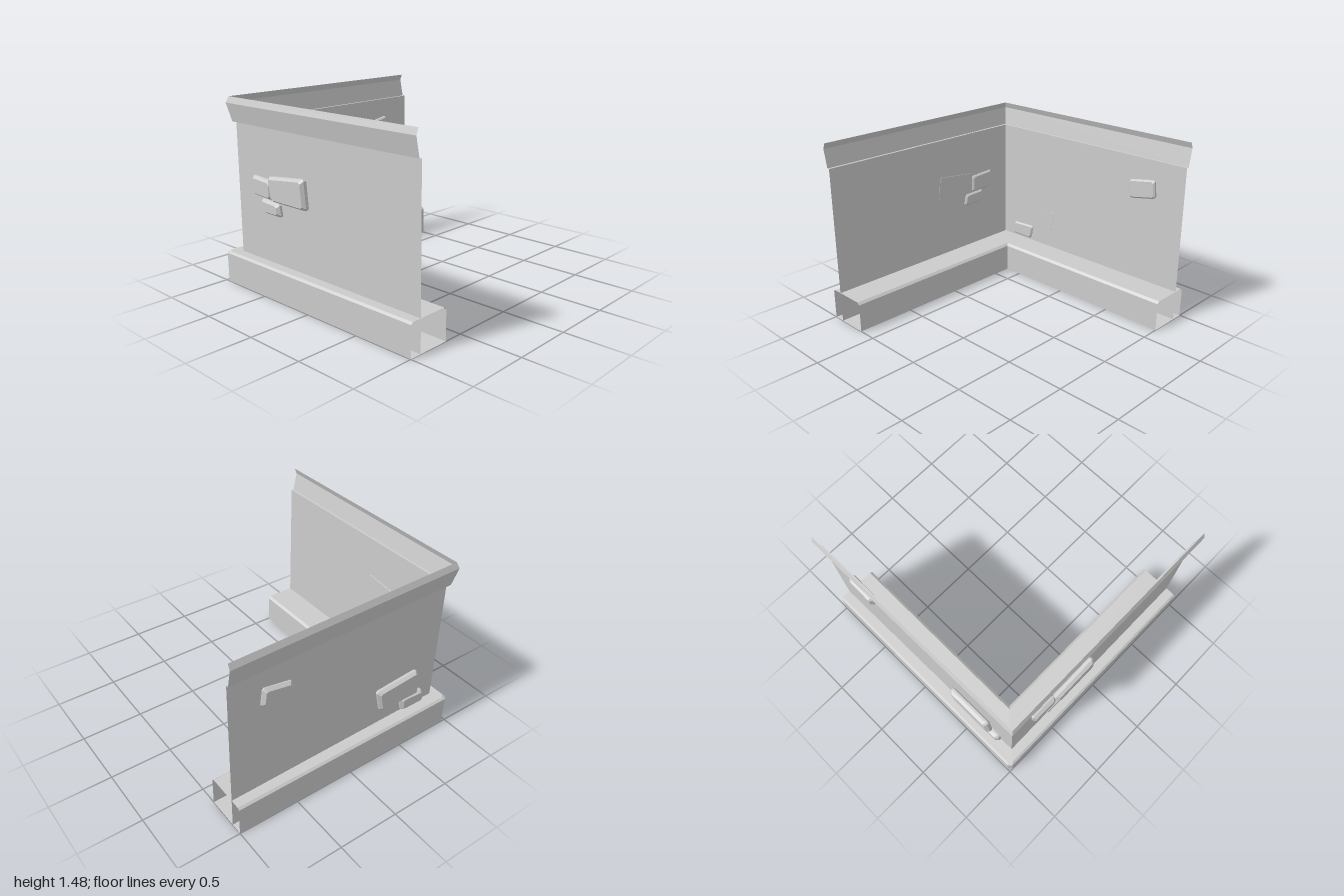
import * as THREE from 'three';

const material = new THREE.MeshStandardMaterial({ color: 0xcccccc, flatShading: true, side: THREE.DoubleSide });

// Skin between successive rings of points; optionally close each ring and cap the ends
function loft(name, rings, closed = false) {
  const pos = rings.flat(2), n = rings[0].length, index = [];
  for (let r = 0; r < rings.length - 1; r++) {
    for (let i = 0; i < (closed ? n : n - 1); i++) {
      const a = r * n + i, b = r * n + (i + 1) % n;
      index.push(a, b, b + n, a, b + n, a + n);
    }
  }
  if (closed) {
    const last = (rings.length - 1) * n;
    for (let i = 1; i < n - 1; i++) index.push(0, i + 1, i, last, last + i, last + i + 1);
  }
  const indexed = new THREE.BufferGeometry();
  indexed.setAttribute('position', new THREE.Float32BufferAttribute(pos, 3));
  indexed.setIndex(index);
  const geometry = indexed.toNonIndexed();
  geometry.computeVertexNormals();
  const mesh = new THREE.Mesh(geometry, material);
  mesh.name = name;
  return mesh;
}

// Sweep a profile of [offset, height] around the corner; each station turns an offset into [x, z]
function sweep(name, profile, stations) {
  return loft(name, stations.map(at => profile.map(([d, y]) => {
    const [x, z] = at(d);
    return [x, y, z];
  })));
}

// The side wall leans out by 0.02 towards its far end
const wallPath = [d => [-d, -1], d => [-d + 0.02, d], d => [1, d]];

// The plinth has a chamfered outer corner
const chamfer = d => (d > 0.9 ? 0.028 : 0);
const plinthPath = [
  d => [-d, -1],
  d => [-d, d - chamfer(d)],
  d => [-d + chamfer(d), d],
  d => [1, d],
];

// Inset a quad by s and cut its corners by c, giving an eight-sided outline
function outline(quad, s, c) {
  const p = quad.map(q => new THREE.Vector2(...q));
  const dir = (a, b) => b.clone().sub(a).normalize();
  return p.flatMap((q, i) => {
    const u = dir(q, p[(i + 3) % 4]), v = dir(q, p[(i + 1) % 4]);
    const inner = q.clone().addScaledVector(u, s).addScaledVector(v, s);
    return [inner.clone().addScaledVector(u, c), inner.clone().addScaledVector(v, c)];
  });
}

// Bevelled stone set in a wall, from depth d0 (inside) to d1 (outside)
function stone(name, quad, d0, d1, place) {
  const layers = [[d0, 0.012], [d0 + 0.012, 0], [d1 - 0.025, 0], [d1, 0.018]];
  return loft(name, layers.map(([d, s]) => outline(quad, s, 0.014).map(p => place(p.x, p.y, d))), true);
}

export function createModel() {
  const group = new THREE.Group();
  group.name = 'cornerWall';

  // Thin wall sheet, hollow plinth with open ends, and cornice strip
  group.add(sweep('wall', [[0.905, 0], [0.905, 1.29]], wallPath));
  group.add(sweep('plinth', [
    [0.997, 0], [0.997, 0.235], [0.98, 0.25], [0.672, 0.25], [0.652, 0.232], [0.652, 0], [0.997, 0],
  ], plinthPath));
  group.add(sweep('cornice', [[0.905, 1.29], [0.926, 1.29], [0.956, 1.435], [0.938, 1.483]], wallPath));

  // Exposed stones on the front wall (x, y corners)
  const onFront = (u, y, d) => [u, y, d];
  const front = [
    [[[-0.475, 0.932], [-0.075, 0.978], [-0.052, 0.75], [-0.435, 0.75]], 0.903, 0.963],
    [[[-0.685, 0.91], [-0.455, 0.896], [-0.455, 0.748], [-0.68, 0.763]], 0.885, 0.945],
    [[[-0.58, 0.748], [-0.375, 0.738], [-0.355, 0.638], [-0.55, 0.64]], 0.885, 0.95],
  ];
  front.forEach(([quad, d0, d1], i) => group.add(stone(`frontStone${i + 1}`, quad, d0, d1, onFront)));

  // Exposed stones on the side wall (z, y corners)
  const onSide = (u, y, d) => [-d, y, u];
  const side = [
    [[[0.68, 0.625], [0.28, 0.592], [0.325, 0.395], [0.708, 0.395]], 0.89, 0.945],
    [[[0.78, 0.38], [0.545, 0.392], [0.57, 0.265], [0.792, 0.265]], 0.872, 0.93],
    [[[-0.495, 1.092], [-0.735, 1.135], [-0.752, 0.985], [-0.51, 0.938]], 0.875, 0.935],
  ];
  side.forEach(([quad, d0, d1], i) => group.add(stone(`sideStone${i + 1}`, quad, d0, d1, onSide)));

  return group;
}
